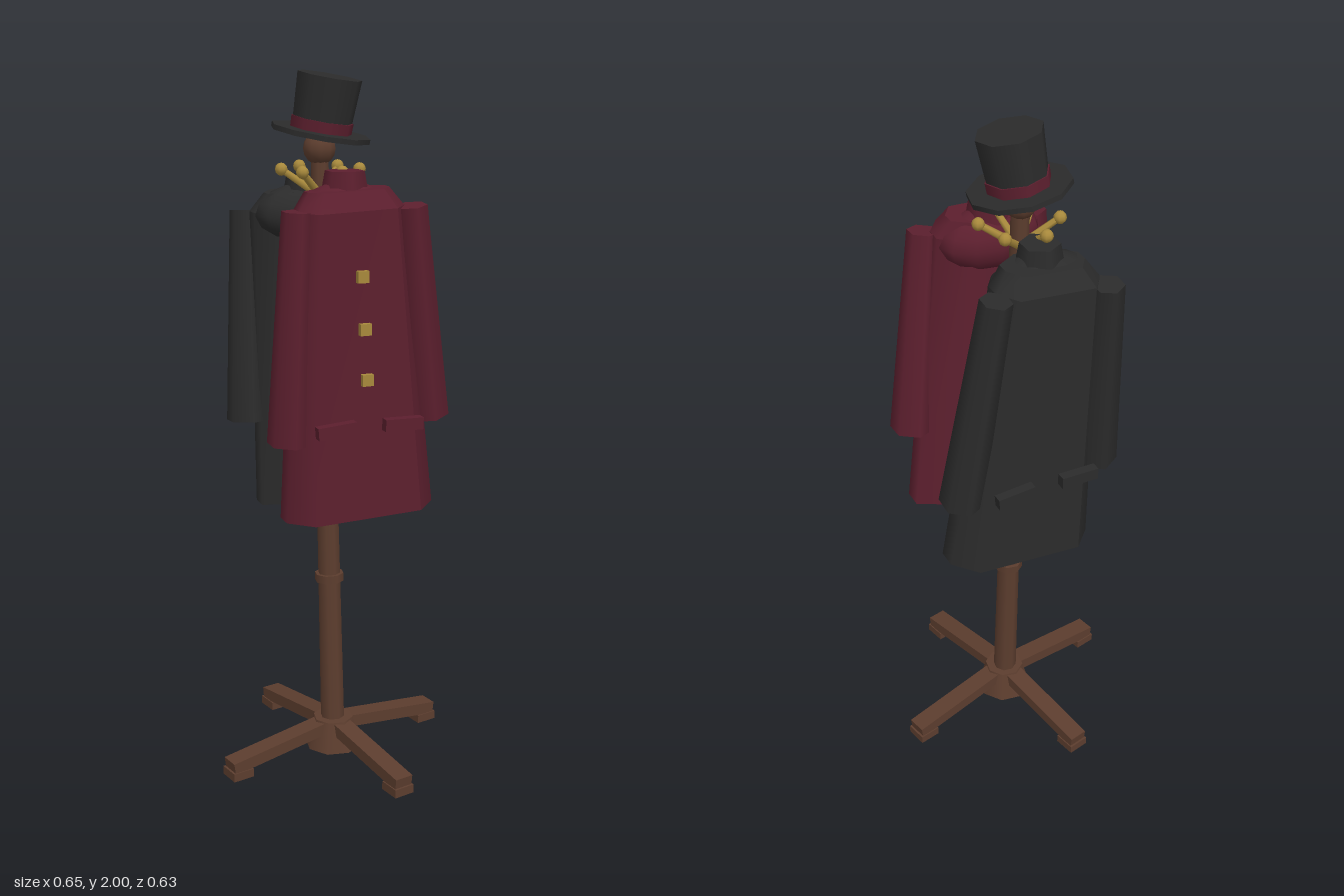
import * as THREE from 'three';

const paint = (name, color) => {
  const m = new THREE.MeshStandardMaterial({ color });
  m.name = name;
  return m;
};

export function createModel() {
  const root = new THREE.Group();
  root.name = 'coatStand';
  const wood = paint('wood', 0x5c3d2e), brass = paint('brass', 0xa8893c);
  const black = paint('blackCloth', 0x2b2b2b), red = paint('redCloth', 0x5c1f2e);
  const V = (x, y, z) => new THREE.Vector3(x, y, z);

  const add = (parent, name, geo, mat, x = 0, y = 0, z = 0) => {
    const m = new THREE.Mesh(geo, mat);
    m.name = name;
    m.position.set(x, y, z);
    parent.add(m);
    return m;
  };
  // upright tapered cylinder, turned by a start angle
  const drum = (rTop, rBottom, h, sides, start = 0) =>
    new THREE.CylinderGeometry(rTop, rBottom, h, sides, 1, false, start);
  // tapered cylinder from point a to point b
  const rod = (parent, name, a, b, ra, rb, sides, mat) => {
    const d = b.clone().sub(a);
    const m = add(parent, name, drum(rb, ra, d.length(), sides), mat);
    m.position.copy(a).addScaledVector(d, 0.5);
    m.quaternion.setFromUnitVectors(V(0, 1, 0), d.normalize());
    return m;
  };

  // leaning pole with rings and a ball on top
  const foot = V(0, 0, 0.035), tip = V(-0.045, 1.8, 0);
  const onPole = (y) => foot.clone().lerp(tip, y / 1.8);
  rod(root, 'pole', onPole(0.05), onPole(1.77), 0.036, 0.025, 8, wood);
  for (const [y, r] of [[0.545, 0.043], [1.56, 0.037]])
    rod(root, 'poleRing', onPole(y - 0.012), onPole(y + 0.012), r, r, 8, wood);
  add(root, 'finial', new THREE.SphereGeometry(0.046, 10, 8), wood, tip.x, 1.79, tip.z);

  // hub and four sloping legs with pads
  add(root, 'hub', drum(0.06, 0.085, 0.09, 8), wood, 0, 0.055, 0.035);
  for (let i = 0; i < 4; i++) {
    const leg = new THREE.Group();
    leg.name = 'leg';
    leg.position.copy(foot);
    leg.rotation.y = Math.PI / 4 + i * Math.PI / 2;
    add(leg, 'legBar', new THREE.BoxGeometry(0.33, 0.036, 0.057), wood, 0.197, 0.058, 0).rotation.z = -0.13;
    add(leg, 'legPad', new THREE.BoxGeometry(0.065, 0.025, 0.064), wood, 0.333, 0.0125, 0);
    root.add(leg);
  }

  // six brass hooks with ball ends
  const hookBase = onPole(1.66);
  for (let i = 0; i < 6; i++) {
    const a = Math.PI / 4 + i * Math.PI / 3;
    const end = hookBase.clone().add(V(0.108 * Math.cos(a), 0.074, 0.108 * Math.sin(a)));
    rod(root, 'hook', hookBase, end, 0.012, 0.009, 6, brass);
    add(root, 'hookBall', new THREE.SphereGeometry(0.018, 8, 6), brass, end.x, end.y, end.z);
  }

  // tilted top hat
  const hat = new THREE.Group();
  hat.name = 'topHat';
  hat.position.set(-0.042, 1.832, -0.003);
  hat.rotation.z = -0.175;
  add(hat, 'hatBrim', drum(0.14, 0.14, 0.014, 10, Math.PI / 10), black);
  add(hat, 'hatCrown', drum(0.091, 0.082, 0.15, 8, Math.PI / 8), black, 0, 0.08, 0);
  add(hat, 'hatBand', drum(0.088, 0.087, 0.03, 8, Math.PI / 8), red, 0, 0.022, 0);
  root.add(hat);

  // eight-sided coat section: broad flat front, rounded ends, narrow back; rings are tilted by roll
  const section = (top, bottom, roll) => {
    const g = drum(1, 1, 1, 8, Math.PI / 8);
    const p = g.attributes.position;
    for (let i = 0; i < p.count; i++) {
      const r = p.getY(i) > 0 ? top : bottom;
      const px = p.getX(i), pz = p.getZ(i);
      let x = 0, z = (r.front + r.back) / 2;
      if (Math.hypot(px, pz) > 0.1) {
        const end = Math.abs(px) > 0.6;
        x = Math.sign(px) * r.half * (end ? 1 : pz > 0 ? 0.72 : 0.45);
        const t = end ? (pz > 0 ? 0.64 : 0.34) : pz > 0 ? 1 : 0;
        z = r.back + (r.front - r.back) * t;
      }
      p.setXYZ(i, r.x + x, r.y + roll * x, z);
    }
    g.computeVertexNormals();
    return g;
  };

  const coat = (name, mat, angle, dy, xTop, xHem, sleeves, flapZ, buttons) => {
    const c = new THREE.Group();
    c.name = name;
    c.rotation.y = angle;
    c.position.y = dy;
    const roll = (xHem - xTop) / 0.88;
    const hem = { x: xHem, y: 0.79, half: 0.22, front: 0.232, back: 0.05 };
    const chest = { x: xTop, y: 1.645, half: 0.152, front: 0.23, back: 0.075 };
    const yoke = { x: xTop, y: 1.695, half: 0.115, front: 0.2, back: 0.075 };
    add(c, 'coatBody', section(chest, hem, roll), mat);
    add(c, 'yoke', section(yoke, chest, roll), mat);
    // shoulders rounded towards the pole, and the neck
    const sh = add(c, 'shoulders', new THREE.SphereGeometry(1, 12, 8), mat, xTop, 1.625, 0.125);
    sh.scale.set(0.15, 0.088, 0.09);
    add(c, 'neck', drum(0.054, 0.064, 0.055, 6), mat, xTop, 1.715, 0.122);
    for (const [a, b] of sleeves) rod(c, 'sleeve', V(...a), V(...b), 0.062, 0.044, 6, mat);
    // pocket flaps
    for (const s of [-1, 1]) {
      const f = add(c, 'pocketFlap', new THREE.BoxGeometry(0.112, 0.034, 0.028), mat, s * 0.098 + 0.006, 1.06, flapZ);
      f.rotation.z = s * -0.05 + 0.03;
    }
    for (const [x, y] of buttons)
      add(c, 'button', new THREE.BoxGeometry(0.032, 0.032, 0.02), brass, x, y, 0.237);
    root.add(c);
  };

  const turn = 0.56;
  coat('redCoat', red, turn, 0, -0.02, 0.012, [
    [[0.222, 1.05, 0.147], [0.146, 1.65, 0.19]],
    [[-0.199, 1.01, 0.164], [-0.174, 1.645, 0.176]],
  ], 0.248, [[-0.014, 1.473], [-0.006, 1.33], [0.001, 1.19]]);
  coat('blackCoat', black, turn + Math.PI, -0.025, 0.043, -0.032, [
    [[0.216, 1.025, 0.154], [0.195, 1.63, 0.218]],
    [[-0.219, 1.025, 0.172], [-0.133, 1.67, 0.222]],
  ], 0.254, []);

  return root;
}
